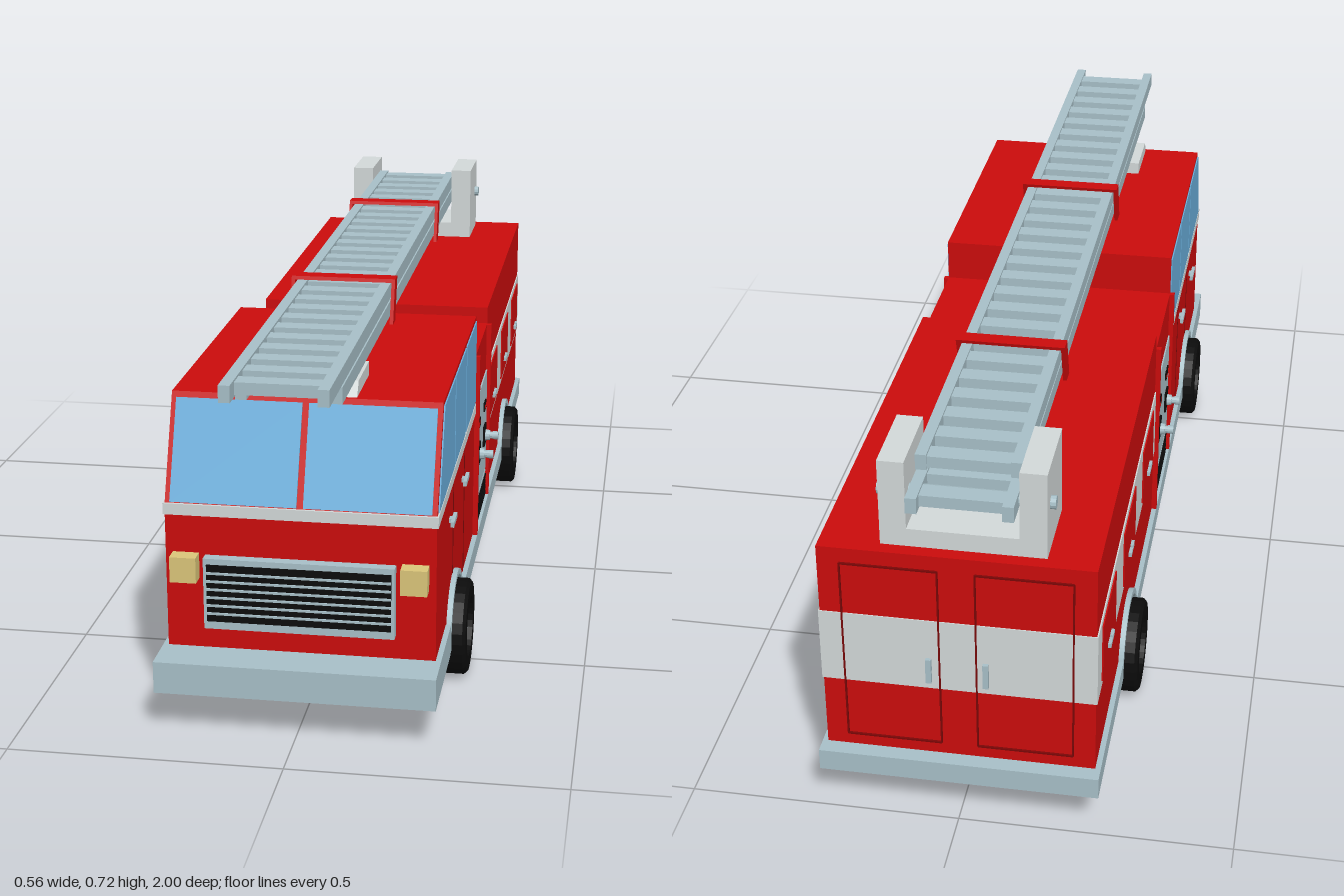
import * as THREE from 'three';

const mat = (color, side = THREE.FrontSide) =>
  new THREE.MeshStandardMaterial({ color, side, flatShading: true });
const RED = mat(0xcc0c0c), SEAM = mat(0x7a0606), STEEL = mat(0xa8c0c8), PALE = mat(0xd3d9d9),
  BLACK = mat(0x0c0c0c), GLASS = mat(0x6aaedb), AMBER = mat(0xdcc67a);
const AXLES = [-0.55, 0.55], AXLE_Y = 0.092;

export function createModel() {
  const root = new THREE.Group();
  root.name = 'fireEngine';

  const add = (name, geo, material, parent = root) => {
    const m = new THREE.Mesh(geo, material);
    m.name = name;
    parent.add(m);
    return m;
  };
  // Box given by its limits on each axis
  const box = (name, material, x0, x1, y0, y1, z0, z1) => {
    const g = new THREE.BoxGeometry(Math.abs(x1 - x0), y1 - y0, Math.abs(z1 - z0));
    g.translate((x0 + x1) / 2, (y0 + y1) / 2, (z0 + z1) / 2);
    return add(name, g, material);
  };
  // Side profile drawn in (z, y), extruded from x0 to x1
  const plate = (name, material, shape, x0, x1) => {
    const g = new THREE.ExtrudeGeometry(shape, { depth: x1 - x0, bevelEnabled: false, curveSegments: 20 });
    g.rotateY(-Math.PI / 2).translate(x1, 0, 0);
    return add(name, g, material);
  };
  const poly = pts => new THREE.Shape(pts.map(p => new THREE.Vector2(...p)));
  // Cylinder lying along x
  const rod = (name, material, x0, x1, y, z, r0, r1 = r0, sides = 12) => {
    const g = new THREE.CylinderGeometry(r0, r1, x1 - x0, sides);
    g.rotateZ(Math.PI / 2).translate((x0 + x1) / 2, y, z);
    return add(name, g, material);
  };

  // Body with wheel tunnels running right across
  const body = new THREE.Shape();
  body.moveTo(-0.97, 0.087);
  for (const z of AXLES) {
    body.lineTo(z - 0.1, 0.087);
    body.absarc(z, AXLE_Y, 0.1, Math.PI, 0, true);
    body.lineTo(z + 0.1, 0.087);
  }
  [[0.82, 0.087], [0.82, 0.41], [0.74, 0.6], [0.15, 0.6], [0.15, 0.515], [-0.11, 0.515],
    [-0.11, 0.55], [-0.97, 0.55]].forEach(p => body.lineTo(...p));
  body.closePath();
  plate('body', RED, body, -0.245, 0.245);

  // Skirt with wheel arch trims
  const skirt = new THREE.Shape(), a = 0.305;
  skirt.moveTo(-1, 0.083);
  for (const z of AXLES) {
    skirt.lineTo(z - 0.099, 0.083);
    skirt.absarc(z, AXLE_Y, 0.099, Math.PI, 0, true);
    skirt.lineTo(z + 0.099, 0.083);
  }
  skirt.lineTo(0.665, 0.083);
  skirt.lineTo(0.665, 0.125);
  for (const z of [...AXLES].reverse()) skirt.absarc(z, AXLE_Y, 0.11, a, Math.PI - a, false);
  skirt.lineTo(-1, 0.125);
  skirt.closePath();
  plate('skirtLeft', STEEL, skirt, 0.245, 0.255);
  plate('skirtRight', STEEL, skirt, -0.255, -0.245);
  box('frontBumper', STEEL, -0.255, 0.255, 0.08, 0.14, 0.66, 0.9);
  box('rearBumper', STEEL, -0.245, 0.245, 0.083, 0.125, -1, -0.965);

  // Wheels and axles
  const tyre = [[0.058, 0.02], [0.058, 0.09], [0.086, 0.09], [0.092, 0.084], [0.092, 0.006],
    [0.086, 0], [0.0, 0]].map(p => new THREE.Vector2(...p));
  for (const z of AXLES) {
    rod('axle', STEEL, -0.2, 0.2, AXLE_Y, z, 0.012);
    for (const s of [-1, 1]) {
      const wheel = new THREE.Group();
      wheel.name = 'wheel';
      wheel.position.set(s * 0.19, AXLE_Y, z);
      wheel.rotation.z = -s * Math.PI / 2;
      root.add(wheel);
      add('tyre', new THREE.LatheGeometry(tyre, 28), mat(0x0c0c0c, THREE.DoubleSide), wheel);
      add('hub', new THREE.CylinderGeometry(0.06, 0.06, 0.06, 28).translate(0, 0.05, 0), STEEL, wheel);
    }
  }

  // Windscreen, two panes lying on the sloping front
  const slope = Math.hypot(0.08, 0.19);
  for (const s of [-1, 1]) {
    const pane = add('windscreen', new THREE.BoxGeometry(0.23, slope - 0.018, 0.006), GLASS);
    pane.position.set(s * 0.121, 0.503, 0.781);
    pane.rotation.x = -Math.atan2(0.08, 0.19);
  }
  box('cabBelt', PALE, -0.248, 0.248, 0.394, 0.415, 0.15, 0.823);

  // Grille and headlights
  box('grilleFrame', STEEL, -0.173, 0.173, 0.185, 0.32, 0.815, 0.84);
  box('grilleOpening', BLACK, -0.167, 0.167, 0.2, 0.309, 0.83, 0.842);
  for (let i = 0; i < 6; i++) {
    const y = 0.216 + i * 0.0155;
    box('grilleSlat', STEEL, -0.167, 0.167, y - 0.002, y + 0.002, 0.838, 0.845);
  }

  for (const s of [-1, 1]) {
    const side = (name, m, x0, x1, ...rest) => box(name, m, s * x0, s * x1, ...rest);
    side('headlight', AMBER, 0.184, 0.232, 0.275, 0.323, 0.815, 0.85);

    // Side windows
    const x0 = s > 0 ? 0.244 : -0.2475;
    for (const pts of [
      [[0.56, 0.417], [0.805, 0.417], [0.732, 0.592], [0.56, 0.592]],
      [[0.36, 0.417], [0.55, 0.417], [0.55, 0.592], [0.36, 0.592]],
      [[0.158, 0.417], [0.35, 0.417], [0.35, 0.592], [0.158, 0.592]],
    ]) plate('sideWindow', GLASS, poly(pts), x0, x0 + 0.0035);

    // Cab door seams and handles
    for (const [z, y] of [[0.555, 0.2], [0.355, 0.125]])
      side('doorSeam', SEAM, 0.244, 0.246, y, 0.394, z - 0.002, z + 0.002);
    for (const z of [0.62, 0.395]) {
      side('doorHandle', STEEL, 0.25, 0.257, 0.33, 0.34, z - 0.028, z + 0.028);
      side('handleMount', STEEL, 0.244, 0.252, 0.331, 0.339, z - 0.008, z + 0.008);
    }

    // Pump bay with posts, gauges, outlets and vent
    for (const z of [0.149, -0.103]) side('pumpPost', RED, 0.244, 0.255, 0.125, 0.515, z - 0.006, z + 0.006);
    side('pumpPanel', STEEL, 0.244, 0.248, 0.19, 0.415, -0.095, 0.143);
    for (const z of [0.09, -0.037]) {
      for (const d of [-0.011, 0.011]) {
        side('gauge', BLACK, 0.246, 0.251, 0.342, 0.36, z + d - 0.008, z + d + 0.008);
        side('gaugeLamp', RED, 0.25, 0.252, 0.347, 0.355, z + d - 0.004, z + d + 0.004);
      }
      side('outletPlate', BLACK, 0.246, 0.252, 0.263, 0.306, z - 0.021, z + 0.021);
      const outlet = (name, a0, a1, rIn, rOut) => s > 0
        ? rod(name, STEEL, a0, a1, 0.284, z, rIn, rOut)
        : rod(name, STEEL, -a1, -a0, 0.284, z, rOut, rIn);
      outlet('outletCollar', 0.248, 0.262, 0.013, 0.011);
      outlet('outletPipe', 0.26, 0.276, 0.008, 0.008);
      outlet('outletCap', 0.268, 0.28, 0.009, 0.009);
    }
    side('ventFrame', STEEL, 0.244, 0.248, 0.126, 0.186, -0.092, 0.13);
    for (let i = 0; i < 4; i++)
      side('ventSlot', BLACK, 0.247, 0.25, 0.132 + i * 0.013, 0.14 + i * 0.013, -0.084, 0.122);

    // Rear body stripe, lockers and latches
    side('sideStripe', PALE, 0.244, 0.2475, 0.27, 0.415, -0.972, -0.11);
    for (const z of [-0.25, -0.545, -0.835]) {
      side('locker', RED, 0.246, 0.25, 0.284, 0.402, z - 0.086, z + 0.086);
      for (const d of [-0.013, 0.013])
        side('lockerLatch', STEEL, 0.249, 0.256, 0.31, 0.319, z + d - 0.01, z + d + 0.01);
    }

    // Back doors outlined by seams, with upright handles
    for (const x of [0.033, 0.205]) side('backDoorSeam', SEAM, x - 0.0015, x + 0.0015, 0.15, 0.52, -0.974, -0.968);
    for (const y of [0.15, 0.52]) side('backDoorSeam', SEAM, 0.033, 0.205, y - 0.0015, y + 0.0015, -0.974, -0.968);
    side('backDoorHandle', STEEL, 0.046, 0.056, 0.29, 0.34, -0.985, -0.978);
    side('backHandleMount', STEEL, 0.047, 0.055, 0.31, 0.32, -0.98, -0.968);
  }
  box('backStripe', PALE, -0.245, 0.245, 0.27, 0.415, -0.972, -0.965);

  // Ladder rest on the cab roof
  plate('ladderRest', PALE, poly([[0.59, 0.598], [0.735, 0.598], [0.715, 0.626], [0.59, 0.626]]), -0.12, 0.09);

  // Ladder turret at the back
  box('turretBase', PALE, -0.155, 0.137, 0.548, 0.585, -0.945, -0.79);
  box('turretArmRight', PALE, -0.155, -0.107, 0.548, 0.717, -0.945, -0.79);
  box('turretArmLeft', PALE, 0.09, 0.137, 0.548, 0.717, -0.945, -0.79);
  rod('turretPin', STEEL, -0.165, 0.146, 0.643, -0.91, 0.012);

  // Two stacked ladder sections
  const ladder = (name, y0, y1, z0, z1, firstRung) => {
    for (const x of [-0.101, 0.066]) box(name + 'Rail', STEEL, x, x + 0.02, y0, y1, z0, z1);
    for (let z = firstRung; z > z0 + 0.01; z -= 0.0695)
      box(name + 'Rung', STEEL, -0.083, 0.068, y0 + 0.004, y1 - 0.004, z - 0.018, z + 0.018);
  };
  ladder('upperLadder', 0.665, 0.695, -0.88, 1, 0.948);
  ladder('lowerLadder', 0.63, 0.66, -0.965, 0.87, 0.809);

  // Slanted clamps over the ladder
  for (const z of [0.283, -0.45]) {
    const strap = (y0, y1) => {
      const shift = y => z + 0.013 - (y - 0.62) * 0.33;
      return poly([[shift(y0) - 0.016, y0], [shift(y0) + 0.016, y0], [shift(y1) + 0.016, y1], [shift(y1) - 0.016, y1]]);
    };
    plate('ladderClampSide', RED, strap(0.62, 0.705), -0.111, -0.104);
    plate('ladderClampSide', RED, strap(0.62, 0.705), 0.089, 0.096);
    plate('ladderClampTop', RED, strap(0.698, 0.705), -0.106, 0.091);
  }
  return root;
}
